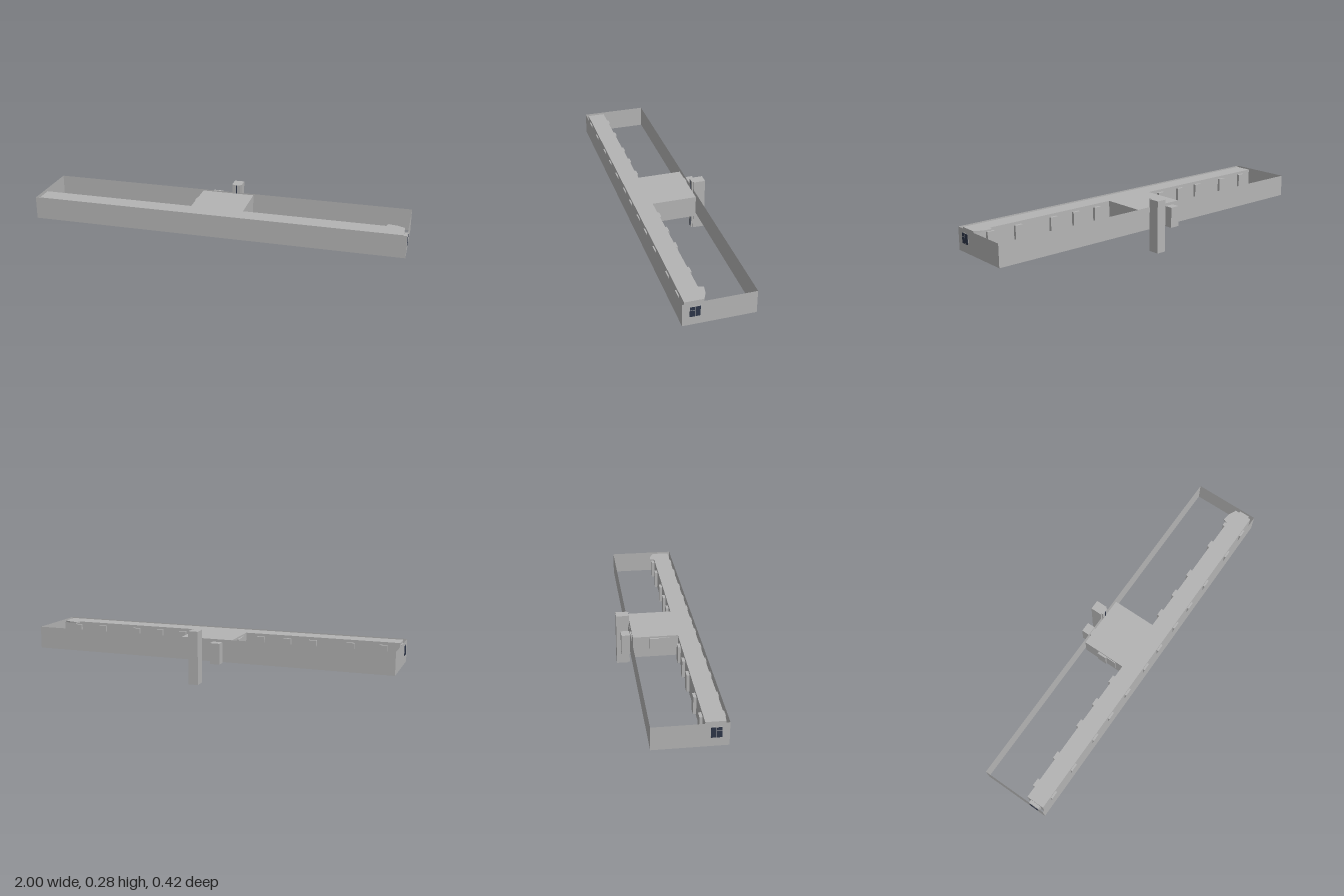
import * as THREE from 'three';

export function createModel() {
  const model = new THREE.Group();
  model.name = 'building';
  const grey = new THREE.MeshStandardMaterial({ color: 0xb4b4b4, side: THREE.DoubleSide });
  grey.name = 'plasterGrey';
  const dark = new THREE.MeshStandardMaterial({ color: 0x2d3548 });
  dark.name = 'glassNavy';

  // Box given by its lower and upper limits on each axis
  function box(name, x0, x1, y0, y1, z0, z1, mat = grey, parent = model) {
    const mesh = new THREE.Mesh(new THREE.BoxGeometry(x1 - x0, y1 - y0, z1 - z0), mat);
    mesh.position.set((x0 + x1) / 2, (y0 + y1) / 2, (z0 + z1) / 2);
    mesh.name = name;
    parent.add(mesh);
    return mesh;
  }

  // Thin upright wall sheets forming an open ring
  function wall(name, width, x, z, turn) {
    const mesh = new THREE.Mesh(new THREE.PlaneGeometry(width, 0.12), grey);
    mesh.position.set(x, 0.18, z);
    mesh.rotation.y = turn;
    mesh.name = name;
    model.add(mesh);
  }
  wall('frontWall', 1.996, 0, 0.21, 0);
  wall('backWall', 1.996, 0, -0.148, Math.PI);
  wall('leftWall', 0.358, 0.998, 0.031, Math.PI / 2);
  wall('rightWall', 0.358, -0.998, 0.031, -Math.PI / 2);

  // Long wing and the central block behind it
  box('longWing', -0.98, 0.98, 0.12, 0.237, 0.1, 0.196);
  box('centralBlock', -0.145, 0.14, 0.12, 0.237, -0.138, 0.1);

  // Roof flare at the left end
  const flare = new THREE.Shape([[0.885, 0.1], [0.895, 0.074], [0.94, 0.082], [0.978, 0.1]]
    .map(([x, z]) => new THREE.Vector2(x, -z)));
  const flareMesh = new THREE.Mesh(
    new THREE.ExtrudeGeometry(flare, { depth: 0.008, bevelEnabled: false }), grey);
  flareMesh.rotation.x = -Math.PI / 2;
  flareMesh.position.y = 0.229;
  flareMesh.name = 'roofFlare';
  model.add(flareMesh);

  // Raised window cases along the rear and front of the wing
  for (const x of [-0.895, -0.725, -0.52, -0.38, -0.23, 0.23, 0.37, 0.515, 0.73, 0.89]) {
    box('rearWindowCase', x - 0.021, x + 0.021, 0.13, 0.222, 0.085, 0.1);
  }
  for (const x of [-0.895, -0.725, -0.535, -0.395, -0.24, -0.07, 0.06, 0.215, 0.355, 0.515, 0.73, 0.885]) {
    box('frontWindowCase', x - 0.021, x + 0.021, 0.122, 0.222, 0.196, 0.206);
  }

  // Side door of the central block
  box('sideDoor', -0.156, -0.145, 0.14, 0.228, -0.052, 0);
  box('sideDoorFrame', -0.15, -0.145, 0.14, 0.228, 0, 0.055);

  // End windows: case, then three glass panes
  for (const side of [1, -1]) {
    const end = new THREE.Group();
    end.name = side > 0 ? 'leftEndWindow' : 'rightEndWindow';
    const part = (name, a, b, y0, y1, z0, z1, mat) =>
      box(name, Math.min(a * side, b * side), Math.max(a * side, b * side), y0, y1, z0, z1, mat, end);
    part('windowCase', 0.98, 0.999, 0.16, 0.222, 0.121, 0.178, grey);
    part('topPane', 0.998, 1, 0.201, 0.218, 0.151, 0.175, dark);
    part('bottomPane', 0.998, 1, 0.165, 0.198, 0.151, 0.175, dark);
    part('tallPane', 0.998, 1, 0.165, 0.218, 0.124, 0.148, dark);
    model.add(end);
  }

  // Tall rear pillar with a narrow neck and a dark slot
  box('rearPillar', 0.017, 0.07, 0, 0.285, -0.212, -0.15);
  box('pillarNeck', 0.024, 0.063, 0, 0.285, -0.15, -0.141);
  box('pillarSlot', 0.041, 0.047, 0.001, 0.284, -0.141, -0.1395, dark);

  // Short rear box
  box('rearBox', -0.097, -0.044, 0.115, 0.226, -0.194, -0.15);
  box('rearBoxNeck', -0.09, -0.05, 0.115, 0.226, -0.15, -0.138);

  return model;
}
